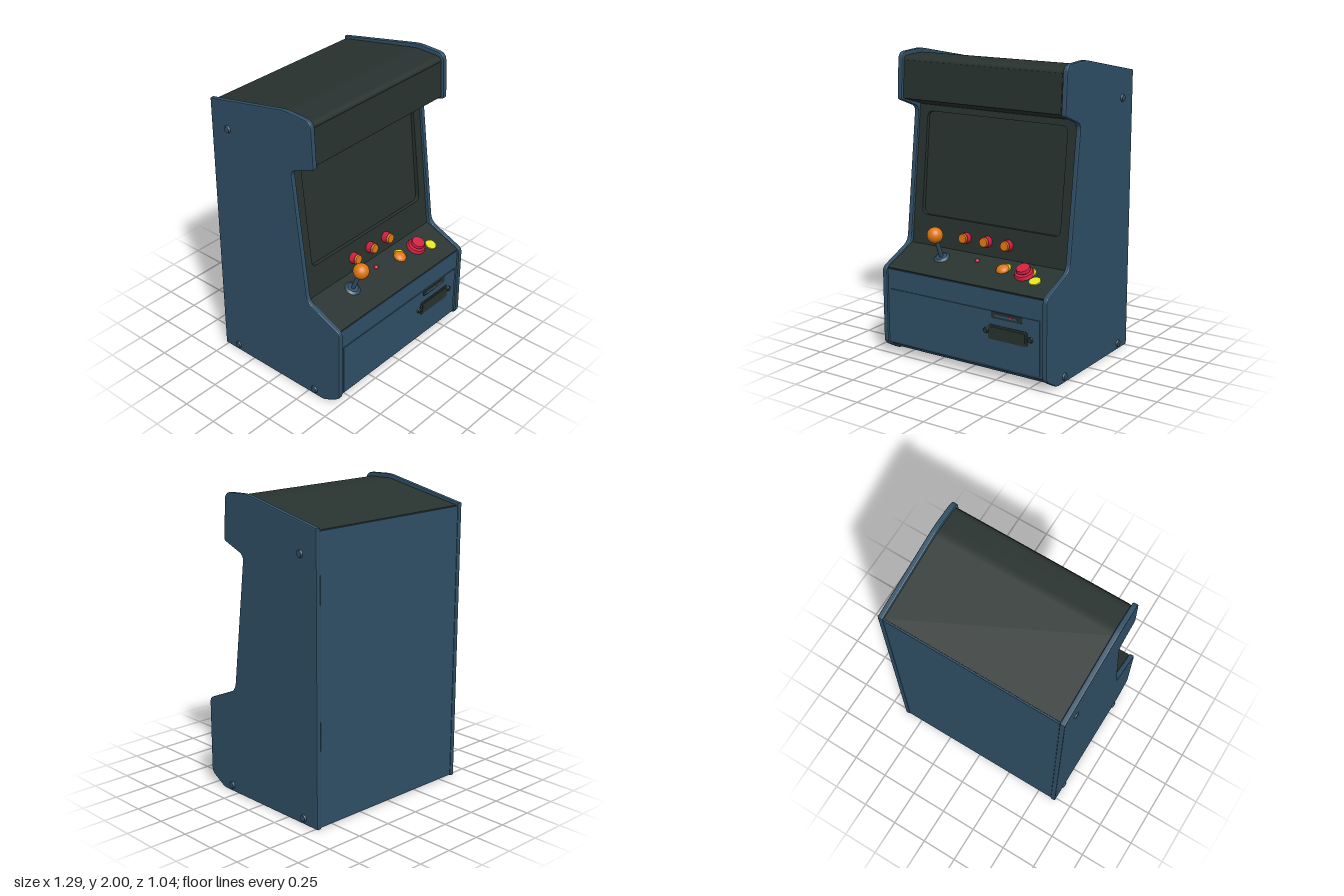
import * as THREE from 'three';

const mat = (name, color) => {
  const m = new THREE.MeshStandardMaterial({ color });
  m.name = name;
  return m;
};

export function createModel() {
  const blue = mat('cabinet blue', 0x2f4f66);
  const dark = mat('charcoal panel', 0x28322f);
  const orange = mat('orange plastic', 0xdd750f);
  const red = mat('red plastic', 0xd22040);
  const yellow = mat('yellow plastic', 0xe4e21c);

  const model = new THREE.Group();
  model.name = 'arcadeCabinet';

  const add = (parent, name, geometry, material, x = 0, y = 0, z = 0) => {
    const mesh = new THREE.Mesh(geometry, material);
    mesh.name = name;
    mesh.position.set(x, y, z);
    parent.add(mesh);
    return mesh;
  };
  const box = (parent, name, size, material, x, y, z) =>
    add(parent, name, new THREE.BoxGeometry(...size), material, x, y, z);
  // Disc or button standing along local y
  const disc = (parent, name, rTop, rBottom, h, material, x, y, z) =>
    add(parent, name, new THREE.CylinderGeometry(rTop, rBottom, h, 24), material, x, y + h / 2, z);

  // Closed outline whose corners [a, b, radius] are rounded by a curve
  const outline = (points) => {
    const shape = new THREE.Shape();
    points.forEach(([a, b, r = 0], i) => {
      const p = new THREE.Vector2(a, b);
      const prev = new THREE.Vector2(...points.at(i - 1).slice(0, 2));
      const next = new THREE.Vector2(...points[(i + 1) % points.length].slice(0, 2));
      const start = p.clone().add(prev.sub(p).setLength(r));
      const end = p.clone().add(next.sub(p).setLength(r));
      if (i === 0) shape.moveTo(start.x, start.y);
      else shape.lineTo(start.x, start.y);
      if (r > 0) shape.quadraticCurveTo(p.x, p.y, end.x, end.y);
    });
    shape.closePath();
    return shape;
  };
  const roundedRect = (x0, y0, x1, y1, r) =>
    outline([[x0, y0, r], [x1, y0, r], [x1, y1, r], [x0, y1, r]]);

  // Prism across the cabinet from a (z, y) outline, centred on x = 0
  const prism = (points, width, bevel = 0) => {
    const g = new THREE.ExtrudeGeometry(outline(points), {
      depth: width - 2 * bevel, curveSegments: 6,
      bevelEnabled: bevel > 0, bevelThickness: bevel, bevelSize: bevel,
      bevelOffset: -bevel, bevelSegments: 2,
    });
    g.translate(0, 0, -(width - 2 * bevel) / 2);
    return g.rotateY(-Math.PI / 2);
  };

  // Side panels with their bolts
  const sideProfile = [
    [-0.52, 0], [0.39, 0, 0.03], [0.52, 0.075, 0.03], [0.52, 0.6, 0.03],
    [0.255, 0.715, 0.05], [0.143, 1.615, 0.04], [0.325, 1.685, 0.015],
    [0.308, 1.99, 0.05], [0.1, 2, 0.04], [-0.52, 1.877],
  ];
  for (const side of [-1, 1]) {
    const name = side > 0 ? 'left' : 'right';
    add(model, name + 'SidePanel', prism(sideProfile, 0.035, 0.008), blue, side * 0.6175, 0, 0);
    for (const [z, y] of [[-0.38, 1.71], [-0.395, 0.042], [0.305, 0.042]]) {
      const bolt = add(model, name + 'Bolt', new THREE.CylinderGeometry(0.02, 0.026, 0.01, 16), blue,
        side * 0.64, y, z);
      bolt.rotation.z = -side * Math.PI / 2;
    }
  }

  // Lower body, back and the dark upper body with hood
  add(model, 'lowerBody', prism([
    [-0.505, 0.008], [0.385, 0.008], [0.505, 0.08, 0.015], [0.505, 0.59], [0.22, 0.7], [-0.505, 0.7],
  ], 1.2), blue);
  add(model, 'upperBody', prism([
    [-0.505, 0.695], [0.205, 0.695], [0.105, 1.63], [0.305, 1.69, 0.008],
    [0.29, 1.965, 0.035], [0.09, 1.972, 0.03], [-0.505, 1.862],
  ], 1.2), dark);
  box(model, 'backPanel', [1.2, 1.85, 0.012], blue, 0, 0.933, -0.51);
  const marquee = box(model, 'marqueePlate', [1.18, 0.235, 0.008], dark, 0, 1.82, 0.298);
  marquee.rotation.x = -0.055;

  // Screen surround, tilted back, with an opening over the screen
  const bezel = new THREE.Group();
  bezel.name = 'screenPanel';
  bezel.position.set(0, 0.71, 0.235);
  bezel.rotation.x = -0.117;
  model.add(bezel);
  const surround = roundedRect(-0.6, -0.02, 0.6, 0.93, 0);
  surround.holes.push(roundedRect(-0.535, 0.2, 0.535, 0.888, 0.045));
  add(bezel, 'screenSurround',
    new THREE.ExtrudeGeometry(surround, { depth: 0.028, bevelEnabled: false, curveSegments: 6 }),
    dark, 0, 0, -0.028);
  for (const x of [-0.165, 0, 0.16]) {
    const button = new THREE.Group();
    button.name = 'panelButton';
    button.position.set(x, 0.09, 0);
    button.rotation.x = Math.PI / 2;
    bezel.add(button);
    disc(button, 'buttonCollar', 0.037, 0.037, 0.04, red, 0, 0, 0);
    disc(button, 'buttonCap', 0.029, 0.033, 0.012, orange, 0, 0.04, 0);
  }

  // Sloping control deck
  const deck = new THREE.Group();
  deck.name = 'controlDeck';
  deck.position.set(0, 0.655, 0.3725);
  deck.rotation.x = 0.393;
  model.add(deck);
  box(deck, 'deckPlate', [1.2, 0.014, 0.287], dark, 0, -0.007, 0);

  // Joystick
  disc(deck, 'joystickBase', 0.035, 0.052, 0.012, blue, -0.29, 0, -0.045);
  disc(deck, 'joystickRod', 0.014, 0.014, 0.15, blue, -0.29, 0, -0.045);
  add(deck, 'joystickBall', new THREE.SphereGeometry(0.053, 24, 16), orange, -0.29, 0.181, -0.045);

  // Deck buttons, lamps and yellow discs
  disc(deck, 'redButtonBase', 0.058, 0.066, 0.022, red, 0.355, 0, -0.04);
  disc(deck, 'redButtonNeck', 0.035, 0.035, 0.015, red, 0.355, 0.02, -0.04);
  disc(deck, 'redButtonCap', 0.044, 0.048, 0.02, red, 0.355, 0.034, -0.04);
  const dome = new THREE.SphereGeometry(0.044, 24, 8, 0, Math.PI * 2, 0, Math.PI / 2);
  add(deck, 'orangeButton', dome, orange, 0.19, 0, -0.045).scale.y = 0.65;
  add(deck, 'redLamp', new THREE.SphereGeometry(0.015, 16, 10), red, -0.025, 0.003, -0.075);
  for (const [x, z] of [[0.46, 0.008], [0.388, -0.06], [0.2, -0.06]])
    disc(deck, 'yellowDisc', 0.038, 0.038, 0.008, yellow, x, 0, z);

  // Coin door with slot, return flap and screws
  box(model, 'coinDoor', [1.155, 0.362, 0.008], blue, 0, 0.275, 0.507);
  const plate = (name, x0, y0, x1, y1, r, depth, material, z) =>
    add(model, name, new THREE.ExtrudeGeometry(roundedRect(x0, y0, x1, y1, r),
      { depth, bevelEnabled: false, curveSegments: 4 }), material, 0, 0, z);
  plate('coinSlotPlate', 0.225, 0.413, 0.452, 0.457, 0.01, 0.006, dark, 0.51);
  plate('coinSlotBar', 0.25, 0.427, 0.42, 0.443, 0.005, 0.004, blue, 0.515);
  plate('coinSlotLight', 0.36, 0.429, 0.38, 0.441, 0.003, 0.003, red, 0.518);
  plate('coinReturnFrame', 0.2, 0.272, 0.49, 0.368, 0.015, 0.006, dark, 0.51);
  plate('coinReturnFlap', 0.215, 0.285, 0.475, 0.355, 0.012, 0.005, dark, 0.515);
  for (const x of [0.182, 0.512]) {
    const screw = add(model, 'coinReturnScrew', new THREE.CylinderGeometry(0.016, 0.02, 0.01, 16), dark,
      x, 0.322, 0.515);
    screw.rotation.x = Math.PI / 2;
  }

  return model;
}
